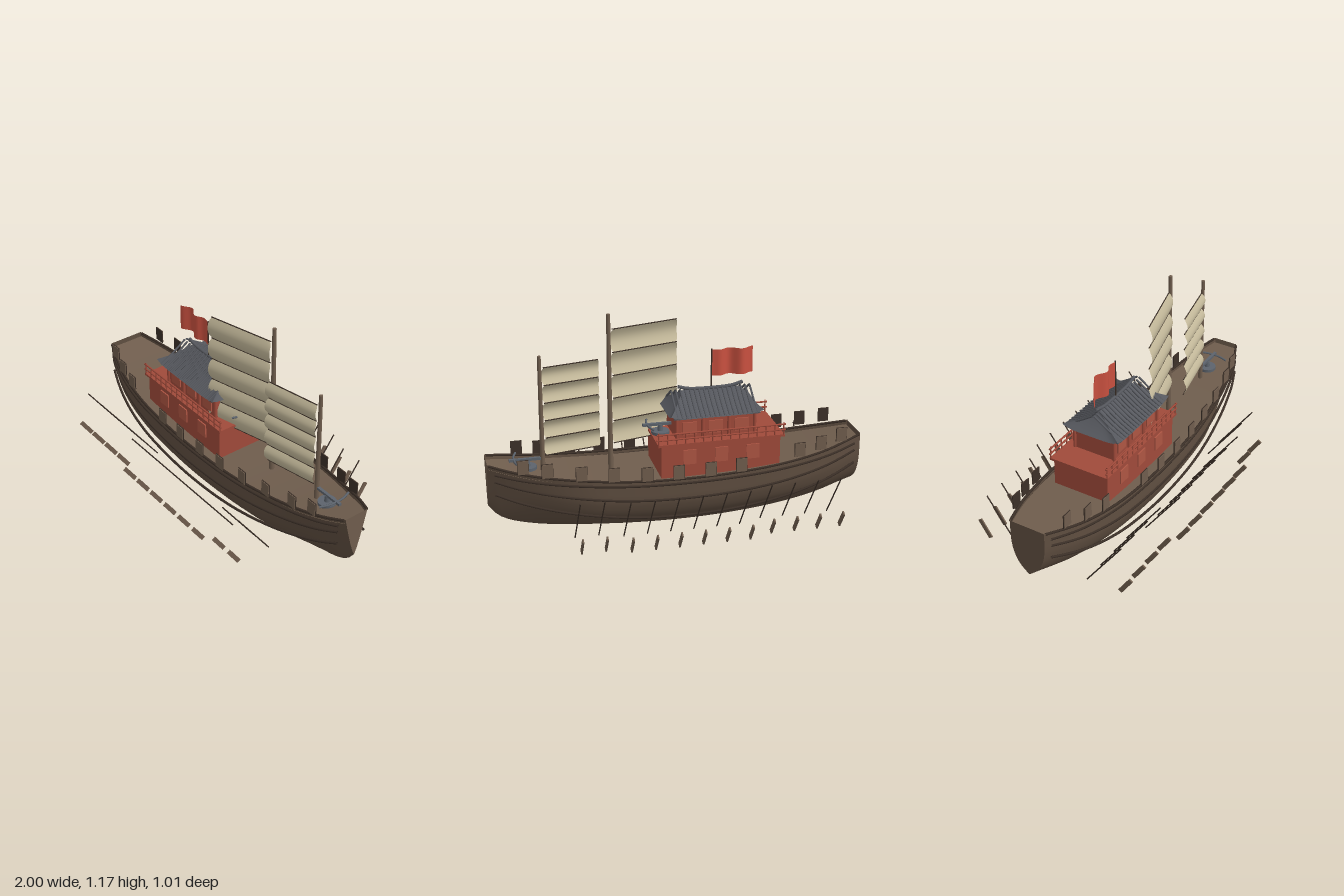
import * as THREE from 'three';
import { ParametricGeometry } from 'three/addons/geometries/ParametricGeometry.js';

const mat = (name, color, side = THREE.FrontSide) => {
  const m = new THREE.MeshStandardMaterial({ color, side });
  m.name = name;
  return m;
};

// Smooth function of x through [x, value] pairs
const through = (pairs) => {
  const c = new THREE.CubicInterpolant(pairs.map((p) => p[0]), pairs.map((p) => p[1]), 1);
  return (x) => c.evaluate(x)[0];
};
const sheer = through([[-1, 0.44], [-0.8, 0.4], [-0.6, 0.373], [-0.3, 0.348], [0, 0.34], [0.3, 0.345], [0.6, 0.37], [0.8, 0.4], [1, 0.445]]);
const keel = through([[-1, 0.145], [-0.8, 0.083], [-0.6, 0.045], [-0.3, 0.014], [0, 0.004], [0.4, 0.016], [0.65, 0.04], [0.8, 0.068], [0.9, 0.1], [0.96, 0.138], [1, 0.19]]);
const beam = through([[-1, 0.1], [-0.8, 0.17], [-0.55, 0.217], [-0.25, 0.232], [0, 0.232], [0.3, 0.216], [0.6, 0.178], [0.8, 0.138], [0.92, 0.105], [1, 0.07]]);
const belly = through([[0, 0], [0.13, 0.45], [0.35, 0.82], [0.55, 0.96], [0.75, 1], [1, 1]]);

// Half width of the hull at x, for height fraction t from keel to sheer
const hullZ = (x, t) => {
  const v = THREE.MathUtils.smoothstep(x, 0.4, 1);
  return beam(x) * THREE.MathUtils.lerp(Math.min(belly(t), 1), Math.pow(t, 0.8), v);
};
const hullY = (x, t) => THREE.MathUtils.lerp(keel(x), sheer(x), t);

export function createModel() {
  const root = new THREE.Group();
  root.name = 'warship';
  const D = THREE.DoubleSide;
  const hullWood = mat('hull wood', 0x5f4e40, D);
  const wood = mat('deck wood', 0x6f5d4d, D);
  const dark = mat('dark wood', 0x3c3028, D);
  const red = mat('red paint', 0xa04a3a, D);
  const panelRed = mat('panel red', 0xae5543);
  const tile = mat('roof tile', 0x56585e, D);
  const iron = mat('grey iron', 0x5c636c);
  const cloth = mat('sail cloth', 0xc6bb9c, D);
  const flagRed = mat('flag red', 0xc8503f, D);

  const add = (name, geo, m, parent = root, x = 0, y = 0, z = 0) => {
    const o = new THREE.Mesh(geo, m);
    o.name = name;
    o.position.set(x, y, z);
    parent.add(o);
    return o;
  };
  const group = (name, x = 0, y = 0, z = 0) => {
    const g = new THREE.Group();
    g.name = name;
    g.position.set(x, y, z);
    root.add(g);
    return g;
  };
  const box = (name, w, h, d, m, x, y, z, parent) => add(name, new THREE.BoxGeometry(w, h, d), m, parent, x, y, z);
  const surface = (name, fn, nu, nv, m, parent) => add(name, new ParametricGeometry(fn, nu, nv), m, parent);
  const tube = (name, pts, r, m, n = 48, parent = root) =>
    add(name, new THREE.TubeGeometry(new THREE.CatmullRomCurve3(pts), n, r, 6), m, parent);
  const V = (x, y, z) => new THREE.Vector3(x, y, z);
  // Straight round bar between two points
  const rod = (name, a, b, r, m, parent = root, r2 = r) => {
    const o = add(name, new THREE.CylinderGeometry(r2, r, a.distanceTo(b), 8), m, parent);
    o.position.copy(a).add(b).multiplyScalar(0.5);
    o.quaternion.setFromUnitVectors(V(0, 1, 0), b.clone().sub(a).normalize());
    return o;
  };

  // Hull sides, gunwales and wales
  for (const s of [1, -1]) {
    surface('hullSide', (u, v, p) => {
      const x = u * 2 - 1, t = 1 - v;
      p.set(x, hullY(x, t), s * hullZ(x, t));
    }, 60, 16, hullWood);
    const line = (dMid, dEnd, end, k) => Array.from({ length: 21 }, (_, i) => {
      const x = end * (i / 10 - 1);
      return V(x, sheer(x) - THREE.MathUtils.lerp(dMid, dEnd, x * x), s * beam(x) * k);
    });
    tube('gunwale', line(0.004, 0.004, 0.993, 1), 0.007, dark);
    [[0.03, 0.045], [0.115, 0.08], [0.212, 0.15]].forEach(([a, b]) =>
      tube('wale', line(a, b, 0.965, 1), 0.007, dark));
  }
  // Flat bow and stern panels
  for (const x of [-1, 1]) {
    surface(x > 0 ? 'bowPanel' : 'transom', (u, v, p) =>
      p.set(x, hullY(x, v), x * (1 - 2 * u) * hullZ(x, v)), 2, 16, x > 0 ? wood : hullWood);
  }
  surface('deck', (u, v, p) => {
    const x = (u * 2 - 1) * 0.995;
    p.set(x, sheer(x) - 0.025, (v * 2 - 1) * beam(x) * 0.98);
  }, 40, 2, wood).geometry.computeVertexNormals();

  // Lower and upper cabins
  box('lowerCabin', 0.64, 0.18, 0.32, red, -0.21, 0.405, 0);
  box('balconyFloor', 0.68, 0.012, 0.345, red, -0.21, 0.5, 0);
  box('upperCabin', 0.42, 0.13, 0.23, red, -0.19, 0.57, 0);
  for (const s of [1, -1]) {
    for (const x of [-0.38, -0.21, -0.04]) box('lowerPanel', 0.07, 0.08, 0.008, panelRed, x, 0.425, s * 0.163);
    for (const x of [-0.33, -0.19, -0.05]) box('upperPanel', 0.075, 0.07, 0.008, panelRed, x, 0.565, s * 0.118);
    for (const x of [-0.4, -0.26, -0.12, 0.02])
      rod('column', V(x, 0.5, s * 0.118), V(x, 0.635, s * 0.118), 0.009, red);
    // Balcony railing
    for (let i = 0; i <= 14; i++) {
      const x = -0.545 + i * 0.048;
      rod('railPost', V(x, 0.5, s * 0.168), V(x, i % 14 ? 0.562 : 0.572, s * 0.168), 0.004, red);
    }
    for (const y of [0.532, 0.562]) rod('rail', V(-0.555, y, s * 0.168), V(0.137, y, s * 0.168), 0.005, red);
  }

  // Hipped roof with raised corners, ridge and tile ribs
  const roof = group('roof', -0.19, 0, 0);
  for (const s of [1, -1]) {
    surface('roofSlope', (u, v, p) => {
      const a = 2 * u - 1;
      p.set(a * (0.25 - 0.1 * v), 0.635 + 0.1 * v + 0.018 * a ** 6 * (1 - v) - 0.01 * Math.sin(Math.PI * v), s * 0.165 * (1 - v));
    }, 16, 6, tile, roof);
    surface('roofHip', (u, v, p) => {
      const a = 2 * u - 1;
      p.set(s * (0.25 - 0.1 * v), 0.635 + 0.1 * v + 0.018 * a ** 6 * (1 - v) - 0.01 * Math.sin(Math.PI * v), a * 0.165 * (1 - v));
    }, 12, 6, tile, roof);
    for (let i = 0; i < 18; i++) {
      const x = -0.213 + i * 0.025;
      tube('tileRib', [V(x, 0.638, s * 0.163), V(x, 0.681, s * 0.085), V(x, 0.735, s * 0.005)], 0.0055, tile, 6, roof);
    }
  }
  box('eavesSoffit', 0.46, 0.006, 0.31, tile, 0, 0.634, 0, roof);
  tube('ridge', [V(-0.175, 0.757, 0), V(-0.12, 0.742, 0), V(0, 0.737, 0), V(0.12, 0.742, 0), V(0.175, 0.757, 0)], 0.009, tile, 20, roof);

  // Flag on its pole
  rod('flagPole', V(-0.195, 0.73, 0), V(-0.195, 0.95, 0), 0.004, dark);
  surface('flag', (u, v, p) =>
    p.set(-0.195 - 0.227 * u, 0.802 + 0.143 * v, -0.016 * Math.sin(u * 11) * Math.min(1, u * 3)), 24, 2, flagRed);

  // Masts with battened sails, swung to one side
  const rig = (x, base, top, r, len, y0, y1, angle) => {
    rod('mast', V(x, base, 0), V(x, top, 0), r, wood, root, r * 0.75);
    const sail = group('sail', x, 0, 0);
    sail.rotation.y = angle;
    const n = 5, h = (y1 - y0) / n;
    for (let i = 0; i < n; i++) {
      surface('sailPanel', (u, v, p) => {
        const inset = 0.03 * Math.abs(2 * v - 1) ** 5;
        const edge = 1 - Math.abs(2 * u - 1) ** 12 * 0.06;
        p.set(-0.014 - len * (inset + u * (1 - 2 * inset)), y0 + h * (i + 0.5 + (v - 0.5) * edge), 0.02 * Math.sin(Math.PI * v));
      }, 20, 10, cloth, sail);
    }
    for (let i = 0; i <= n; i++)
      rod('batten', V(-0.02, y0 + h * i, 0), V(-0.004 - len, y0 + h * i, 0), 0.003, dark, sail);
  };
  rig(0.347, 0.31, 1.178, 0.014, 0.388, 0.472, 1.095, 0.255);
  rig(0.705, 0.35, 0.983, 0.013, 0.315, 0.438, 0.918, 0.205);

  // Bolt throwers on turntables
  for (const [x, y] of [[0.08, 0.506], [0.785, 0.375]]) {
    const g = group('boltThrower', x, y, 0);
    add('turntable', new THREE.CylinderGeometry(0.048, 0.048, 0.016, 20), iron, g, 0, 0.008, 0);
    add('pivot', new THREE.CylinderGeometry(0.012, 0.016, 0.04, 10), iron, g, 0, 0.03, 0);
    box('stock', 0.17, 0.014, 0.016, iron, 0.01, 0.052, 0, g);
    tube('bowArms', [V(0.05, 0.054, -0.095), V(0.068, 0.054, -0.04), V(0.07, 0.054, 0), V(0.068, 0.054, 0.04), V(0.05, 0.054, 0.095)], 0.006, iron, 14, g);
  }

  // Shields along both rails
  const shieldX = [-0.875, -0.75, -0.625, -0.3, -0.135, 0.035, 0.2, 0.37, 0.535, 0.705, 0.825];
  for (const s of [1, -1]) {
    for (const x of shieldX) {
      const y = sheer(x) + 0.036 + 0.03 * THREE.MathUtils.smoothstep(-x, 0.4, 0.6) * 0.5;
      box('shield', 0.056, 0.074, 0.008, wood, x, y, s * (beam(x) + 0.004));
      box('shieldRim', 0.06, 0.078, 0.005, dark, x, y, s * (beam(x) + 0.002));
    }
    // Oars: shaft and separate blade, longer reach amidships
    for (let i = 0; i < 12; i++) {
      const x = -0.79 + i * 0.1245, out = i >= 4 && i <= 9 ? 0.04 : 0;
      rod('oarShaft', V(x, 0.05, s * (0.2 + out)), V(x, 0.33, s * (0.4 + out)), 0.0035, dark);
      const blade = box('oarBlade', 0.008, 0.112, 0.024, wood, x, 0.108, s * (0.425 + out));
      blade.rotation.x = s * 0.59;
    }
  }
  return root;
}
